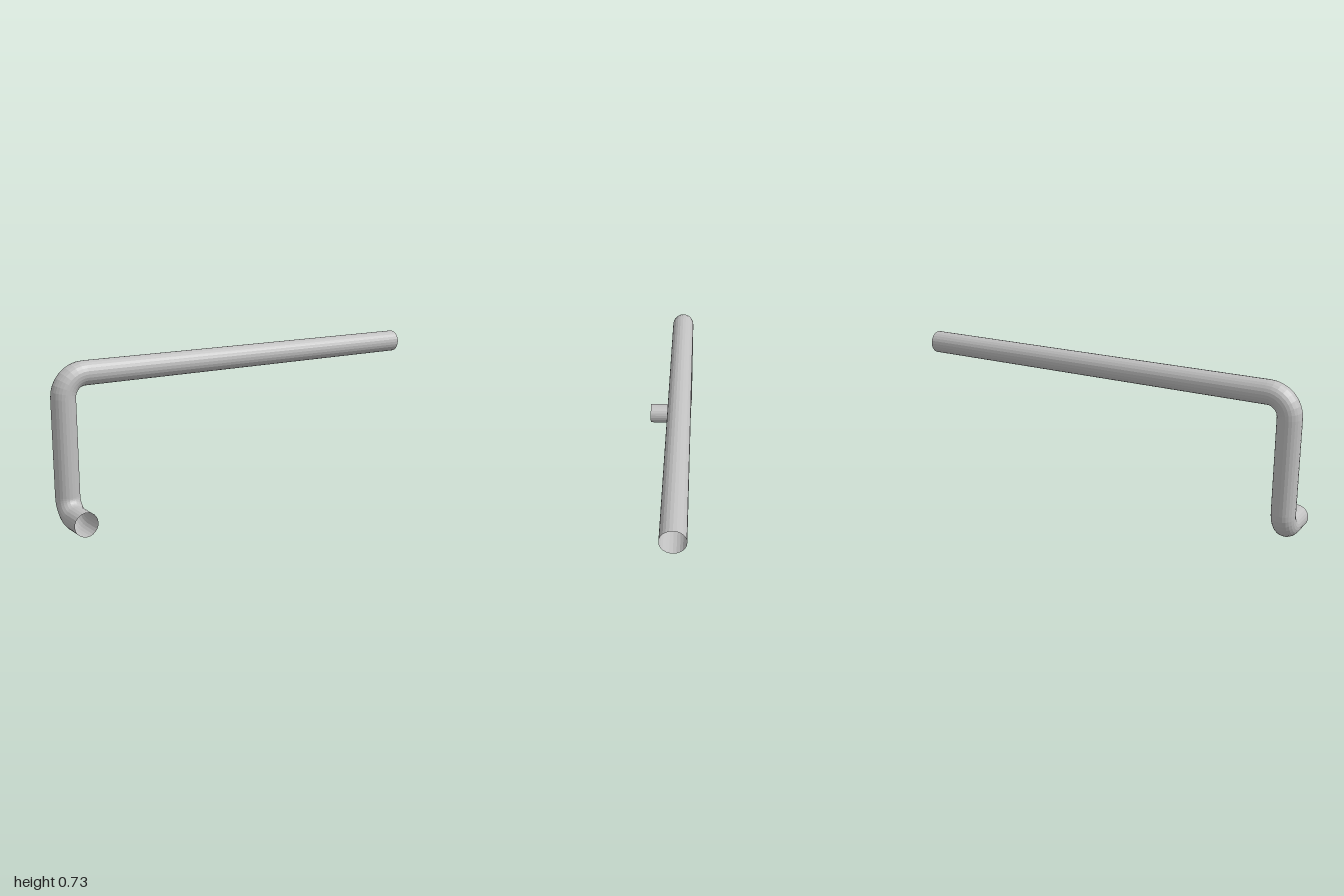
import * as THREE from 'three';

export function createModel() {
  const group = new THREE.Group();
  group.name = 'bentPipe';

  const greyMetal = new THREE.MeshStandardMaterial({ color: 0xc0c0c0 });
  greyMetal.name = 'greyMetal';
  greyMetal.flatShading = true;
  greyMetal.side = THREE.DoubleSide; // hollow, open-ended pipe

  const R = 0.055, SIDES = 24, BEND_STEPS = 8;
  const x = -0.066, yLow = 0.056, yTop = 0.68, z = 0.945; // pipe centre lines
  const rLow = 0.085, rTop = 0.1; // bend radii

  // Straight hollow run between two points
  function run(name, a, b) {
    const from = new THREE.Vector3(...a), to = new THREE.Vector3(...b);
    const dir = to.clone().sub(from);
    const mesh = new THREE.Mesh(
      new THREE.CylinderGeometry(R, R, dir.length(), SIDES, 1, true), greyMetal);
    mesh.name = name;
    mesh.position.copy(from).add(to).multiplyScalar(0.5);
    mesh.quaternion.setFromUnitVectors(new THREE.Vector3(0, 1, 0), dir.normalize());
    group.add(mesh);
  }

  // Quarter-turn hollow elbow
  function elbow(name, radius, centre, rotation) {
    const mesh = new THREE.Mesh(
      new THREE.TorusGeometry(radius, R, SIDES, BEND_STEPS, Math.PI / 2), greyMetal);
    mesh.name = name;
    mesh.position.set(...centre);
    mesh.rotation.set(...rotation);
    group.add(mesh);
  }

  run('outletStub', [0.121, yLow, z], [x + rLow, yLow, z]);
  elbow('lowerElbow', rLow, [x + rLow, yLow + rLow, z], [0, 0, Math.PI]);
  run('uprightPipe', [x, yLow + rLow, z], [x, yTop - rTop, z]);
  elbow('upperElbow', rTop, [x, yTop - rTop, z - rTop], [0, -Math.PI / 2, 0]);
  run('longPipe', [x, yTop, z - rTop], [x, yTop, -1]);

  return group;
}
